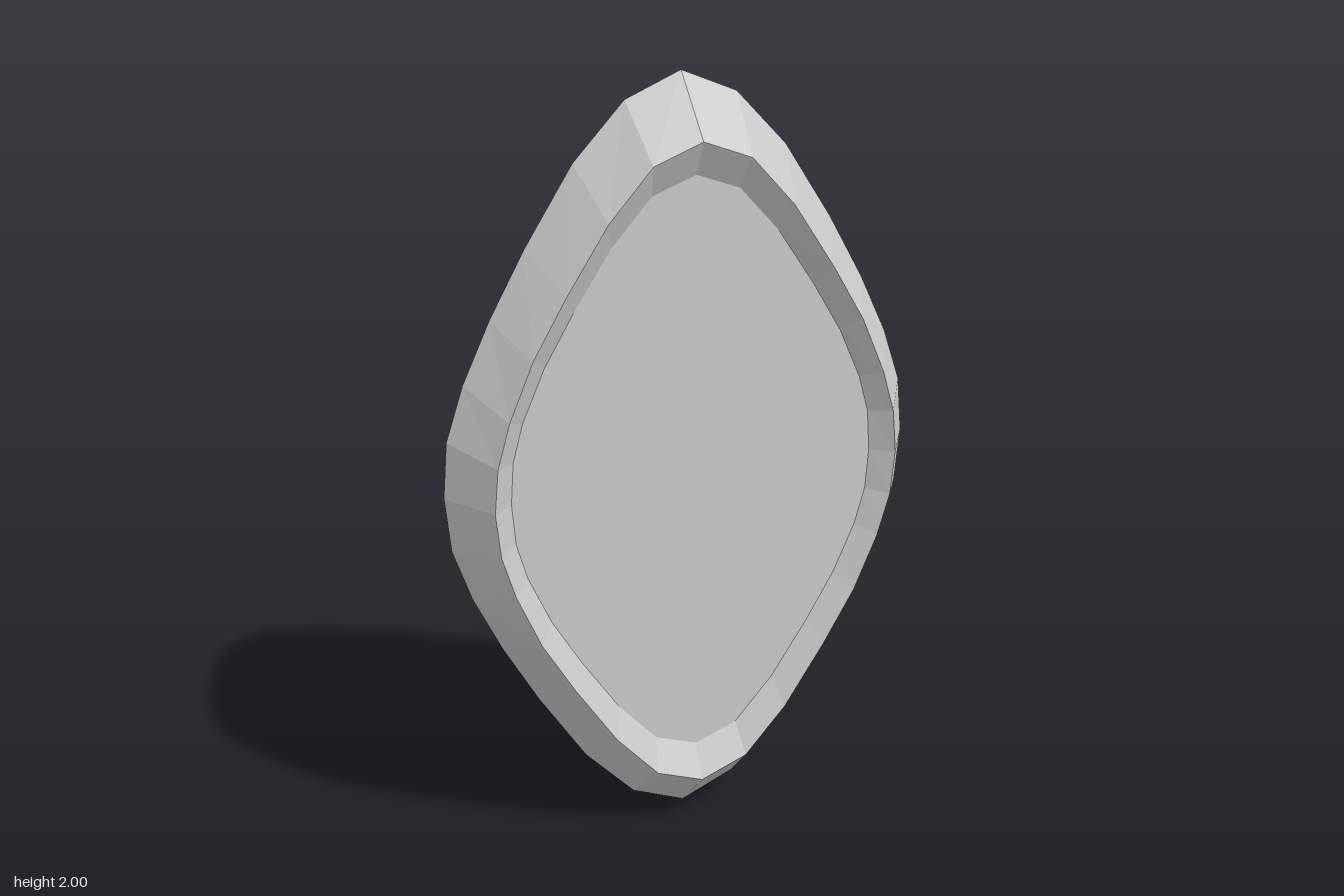
import * as THREE from 'three';

// Quarter outlines from the top tip to the side, measured from the centre
const OUTER = [[0, 1], [0.143, 0.94], [0.275, 0.8], [0.4, 0.605], [0.492, 0.44], [0.565, 0.285], [0.612, 0.145], [0.625, 0]];
const RIM = [[0, 0.858], [0.125, 0.81], [0.237, 0.685], [0.345, 0.52], [0.43, 0.375], [0.493, 0.228], [0.526, 0.115], [0.537, 0]];
const PANEL = [[0, 0.77], [0.113, 0.728], [0.216, 0.613], [0.314, 0.465], [0.39, 0.336], [0.448, 0.205], [0.475, 0.108], [0.483, 0]];
const BACK_Z = -0.071, FRONT_Z = 0.071, PANEL_Z = 0.026;

// Mirror a quarter into a closed clockwise outline
function outline(quarter) {
  const n = quarter.length;
  const right = [...quarter, ...quarter.slice(0, n - 1).reverse().map(([x, y]) => [x, -y])];
  const left = right.slice(1, -1).reverse().map(([x, y]) => [-x, y]);
  return [...right, ...left].map(([x, y]) => new THREE.Vector2(x, y + 1));
}

// Sloped band joining an outer outline to an inner one
function band(outer, zOuter, inner, zInner) {
  const a = outline(outer), b = outline(inner), n = a.length;
  const positions = [], index = [];
  for (let i = 0; i < n; i++) {
    positions.push(a[i].x, a[i].y, zOuter, b[i].x, b[i].y, zInner);
    const p = 2 * i, q = 2 * ((i + 1) % n);
    index.push(p, p + 1, q, q, p + 1, q + 1);
  }
  const indexed = new THREE.BufferGeometry();
  indexed.setAttribute('position', new THREE.Float32BufferAttribute(positions, 3));
  indexed.setIndex(index);
  const geometry = indexed.toNonIndexed();
  geometry.computeVertexNormals();
  return geometry;
}

export function createModel() {
  const group = new THREE.Group();
  group.name = 'framedPlate';
  const material = new THREE.MeshStandardMaterial({ color: 0xcccccc, flatShading: true, side: THREE.DoubleSide });
  const add = (name, geometry) => {
    const mesh = new THREE.Mesh(geometry, material);
    mesh.name = name;
    group.add(mesh);
  };

  // Wide bevel rising from the back edge to the front rim
  add('outerBevel', band(OUTER, BACK_Z, RIM, FRONT_Z));
  // Narrow bevel falling from the rim to the panel
  add('innerBevel', band(RIM, FRONT_Z, PANEL, PANEL_Z));
  // Flat recessed panel
  const panel = new THREE.ShapeGeometry(new THREE.Shape(outline(PANEL)));
  panel.translate(0, 0, PANEL_Z);
  add('panel', panel);

  return group;
}
